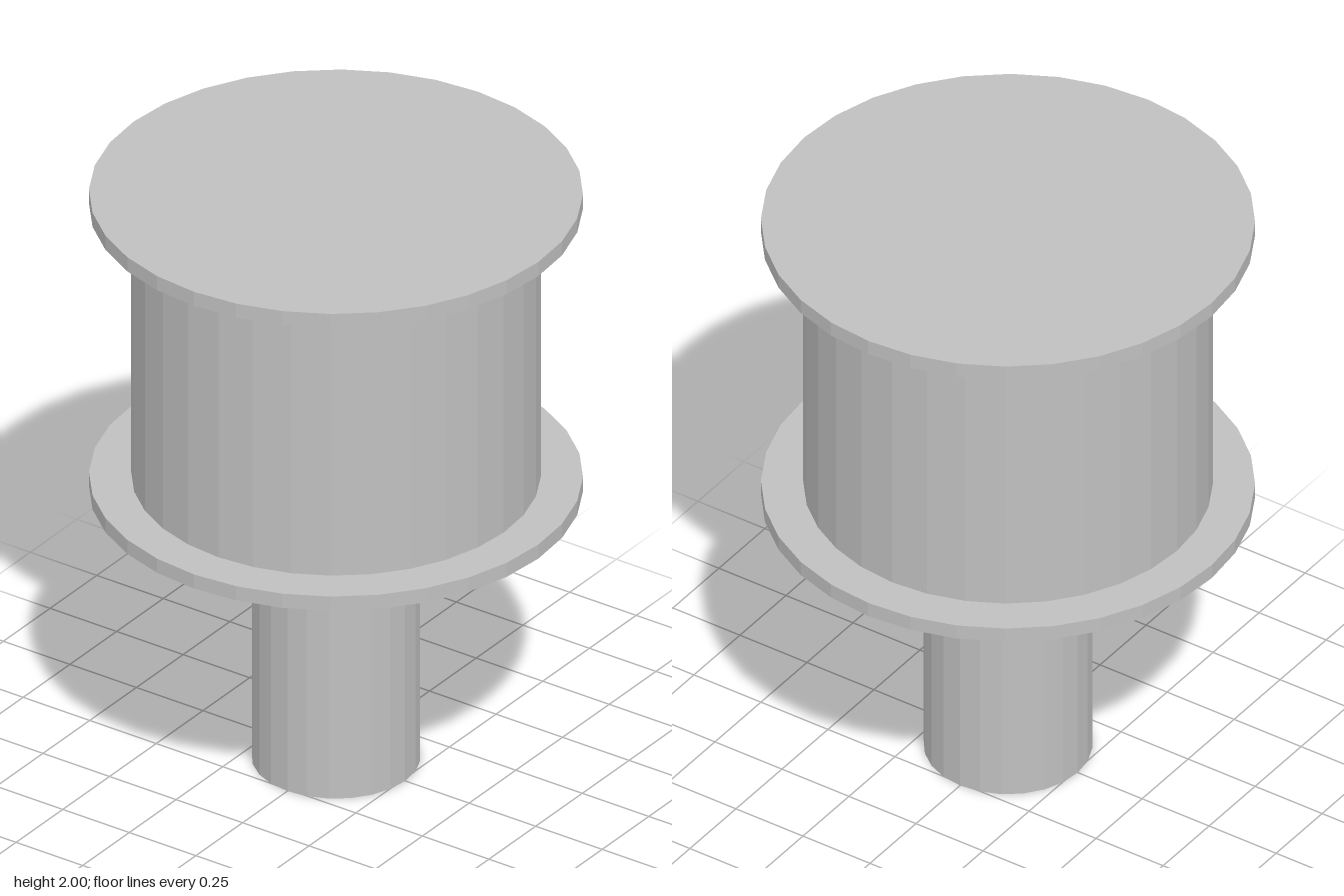
import * as THREE from 'three';

export function createModel() {
  const model = new THREE.Group();
  const grey = new THREE.MeshStandardMaterial({ color: 0xc0c0c0 });
  grey.name = 'plain grey';
  grey.flatShading = true;

  // Upright faceted cylinder between two heights
  function addCylinder(name, radius, bottom, top, sides) {
    const geometry = new THREE.CylinderGeometry(radius, radius, top - bottom, sides);
    const mesh = new THREE.Mesh(geometry, grey);
    mesh.name = name;
    mesh.position.y = (bottom + top) / 2;
    model.add(mesh);
  }

  addCylinder('stem', 0.26, 0, 0.95, 24);
  addCylinder('lowerFlange', 0.76, 0.95, 1, 32);
  addCylinder('drum', 0.63, 1, 1.95, 32);
  addCylinder('upperFlange', 0.76, 1.95, 2, 32);

  return model;
}
